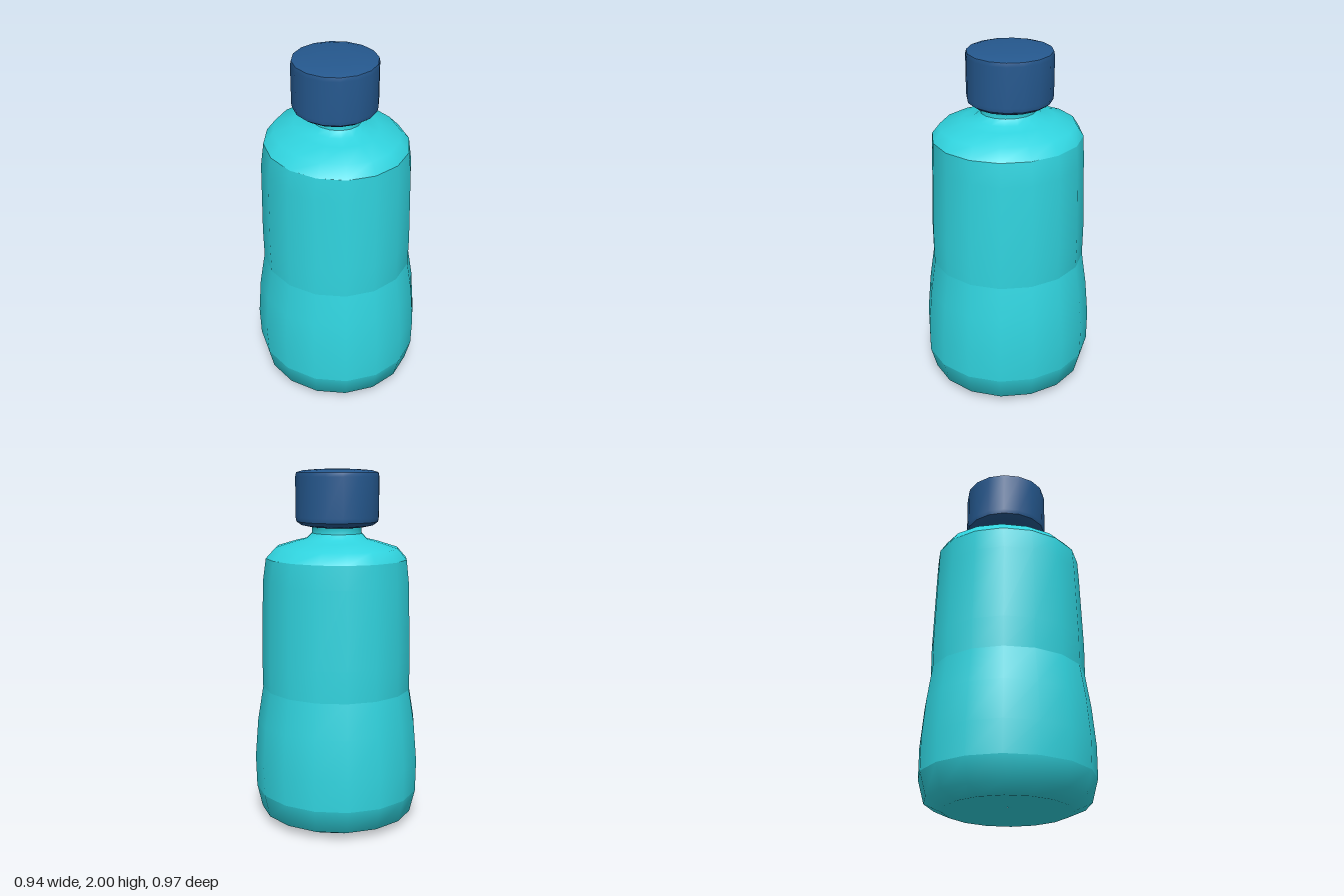
import * as THREE from 'three';

const SIDES = 16;

// Lofts elliptical rings [y, radiusX, radiusZ, centreZ], listed from bottom to top.
function loft(name, rings, material) {
  const pos = [], index = [];
  for (const [y, rx, rz, cz = 0] of rings) {
    for (let i = 0; i < SIDES; i++) {
      const a = (i / SIDES) * Math.PI * 2;
      pos.push(Math.sin(a) * rx, y, Math.cos(a) * rz + cz);
    }
  }
  for (let r = 0; r < rings.length - 1; r++) {
    for (let i = 0; i < SIDES; i++) {
      const j = (i + 1) % SIDES;
      const a = r * SIDES + i, b = r * SIDES + j;
      const c = a + SIDES, d = b + SIDES;
      index.push(a, b, d, a, d, c);
    }
  }
  const geo = new THREE.BufferGeometry();
  geo.setAttribute('position', new THREE.Float32BufferAttribute(pos, 3));
  geo.setIndex(index);
  geo.computeVertexNormals();
  const mesh = new THREE.Mesh(geo, material);
  mesh.name = name;
  return mesh;
}

export function createModel() {
  const teal = new THREE.MeshStandardMaterial({ color: 0x30d3de });
  teal.name = 'teal plastic';
  const navy = new THREE.MeshStandardMaterial({ color: 0x25588e });
  navy.name = 'navy plastic';

  // Bottle: separate bands keep the creases between them sharp
  const bottle = new THREE.Group();
  bottle.name = 'bottle';
  bottle.add(
    loft('base', [
      [0.03, 0.001, 0.001],
      [0.025, 0.2, 0.21],
      [0.005, 0.34, 0.35],
      [0.05, 0.435, 0.45],
      [0.18, 0.464, 0.485],
    ], teal),
    loft('lowerBody', [
      [0.18, 0.464, 0.485],
      [0.36, 0.47, 0.485],
      [0.58, 0.453, 0.465],
      [0.775, 0.42, 0.437],
    ], teal),
    loft('upperBody', [
      [0.775, 0.42, 0.437],
      [0.95, 0.422, 0.438],
      [1.38, 0.413, 0.423],
      [1.51, 0.392, 0.419],
    ], teal),
    loft('shoulder', [
      [1.51, 0.392, 0.419],
      [1.57, 0.335, 0.378, -0.003],
      [1.605, 0.225, 0.26, -0.005],
      [1.62, 0.165, 0.19, -0.005],
      [1.65, 0.137, 0.155, -0.005],
    ], teal),
    loft('neck', [
      [1.65, 0.137, 0.155, -0.005],
      [1.675, 0.135, 0.152, -0.005],
      [1.72, 0.15, 0.16, -0.008],
    ], teal),
  );

  // Cap: underside, wall and slightly domed top
  const cz = -0.013;
  const cap = new THREE.Group();
  cap.name = 'cap';
  cap.add(
    loft('capUnderside', [
      [1.69, 0.001, 0.001, cz],
      [1.685, 0.15, 0.16, cz],
      [1.695, 0.2, 0.205, cz],
      [1.715, 0.228, 0.233, cz],
    ], navy),
    loft('capWall', [
      [1.715, 0.228, 0.233, cz],
      [1.74, 0.233, 0.237, cz],
      [1.96, 0.233, 0.237, cz],
      [1.982, 0.228, 0.232, cz],
    ], navy),
    loft('capTop', [
      [1.982, 0.228, 0.232, cz],
      [1.993, 0.19, 0.194, cz],
      [2.0, 0.1, 0.1, cz],
      [2.0, 0.001, 0.001, cz],
    ], navy),
  );

  const model = new THREE.Group();
  model.name = 'cappedBottle';
  model.add(bottle, cap);
  return model;
}
